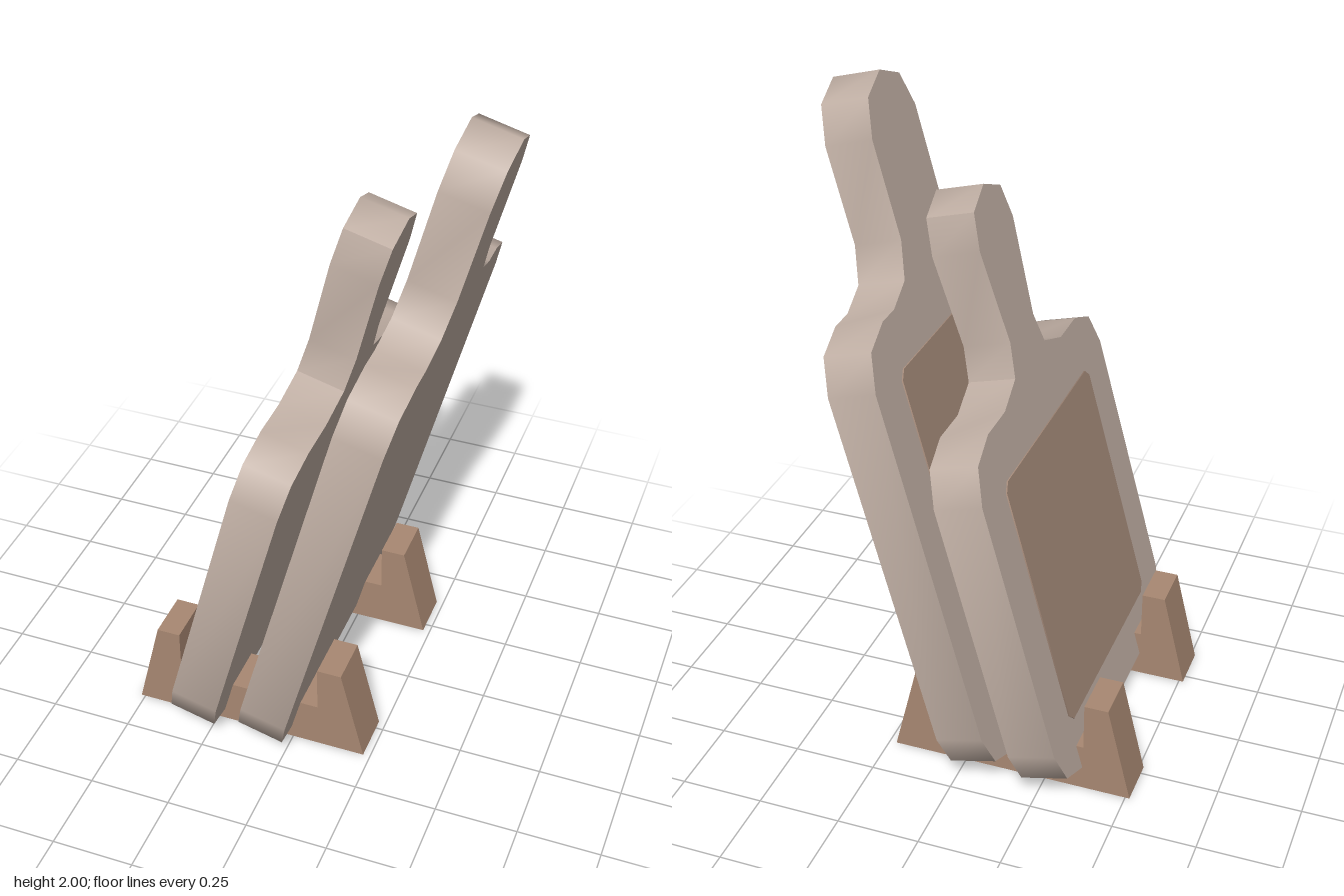
import * as THREE from 'three';
import { toCreasedNormals } from 'three/addons/utils/BufferGeometryUtils.js';

const TILT = THREE.MathUtils.degToRad(15);
const THICK = 0.145;

const material = (name, color) => {
  const m = new THREE.MeshStandardMaterial({ color });
  m.name = name;
  return m;
};

// Closed outline mirrored about the vertical axis, from right-half points listed bottom to top
function mirroredShape(half) {
  const left = half.filter(([a]) => a > 0).reverse().map(([a, u]) => [-a, u]);
  return new THREE.Shape([...half, ...left].map(([a, u]) => new THREE.Vector2(a, u)));
}

// Upright slab whose thickness runs along +x, starting at x
function slab(shape, x, depth, mat, name) {
  let g = new THREE.ExtrudeGeometry(shape, { depth, bevelEnabled: false });
  g.rotateY(Math.PI / 2);
  g.translate(x, 0, 0);
  g = toCreasedNormals(g, 0.9);
  const mesh = new THREE.Mesh(g, mat);
  mesh.name = name;
  return mesh;
}

// Leaning board: rounded body, concave shoulders, handle, and an inset-coloured panel
function makeBoard(name, x, shoulder, upper, panelTop, boardMat, panelMat) {
  const board = new THREE.Group();
  board.name = name;
  const outline = mirroredShape([
    [0.372, 0], [0.477, 0.042], [0.518, 0.146],
    [0.518, shoulder - 0.146], [0.477, shoulder - 0.042], [0.372, shoulder],
    ...upper,
  ]);
  board.add(slab(outline, 0, THICK, boardMat, name + 'Body'));
  const c = 0.025, w = 0.366, b = 0.155;
  const panel = mirroredShape([
    [w - c, b], [w, b + c], [w, panelTop - c], [w - c, panelTop],
  ]);
  board.add(slab(panel, -0.004, 0.005, panelMat, name + 'Panel'));
  board.rotation.z = -TILT;
  board.position.set(x, 0.076, 0);
  return board;
}

export function createModel() {
  const model = new THREE.Group();
  model.name = 'boardsOnStand';
  const boardMat = material('pale wood', 0xbfaea3);
  const panelMat = material('brown panel', 0xa68b7a);
  const standMat = material('tan stand', 0xa88872);

  // Tall board with a straight handle
  model.add(makeBoard('tallBoard', -0.145, 1.412, [
    [0.296, 1.412], [0.194, 1.453], [0.149, 1.555],
    [0.149, 1.845], [0.106, 1.95], [0, 1.993],
  ], 1.256, boardMat, panelMat));

  // Short board with a handle that widens upward
  model.add(makeBoard('shortBoard', -0.366, 1.113, [
    [0.24, 1.113], [0.125, 1.157], [0.096, 1.255],
    [0.131, 1.545], [0.103, 1.65], [0, 1.693],
  ], 0.95, boardMat, panelMat));

  // Pair of stand feet with a raised post at each end
  const foot = new THREE.Shape([
    [-0.513, 0], [0.228, 0], [0.155, 0.3], [0.08, 0.3],
    [0.08, 0.15], [-0.368, 0.15], [-0.368, 0.3], [-0.44, 0.3],
  ].map(([x, y]) => new THREE.Vector2(x, y)));
  const footGeo = toCreasedNormals(
    new THREE.ExtrudeGeometry(foot, { depth: 0.148, bevelEnabled: false }).translate(0, 0, -0.074), 0.2);
  for (const [name, z] of [['frontFoot', 0.295], ['backFoot', -0.295]]) {
    const mesh = new THREE.Mesh(footGeo, standMat);
    mesh.name = name;
    mesh.position.z = z;
    model.add(mesh);
  }
  return model;
}
